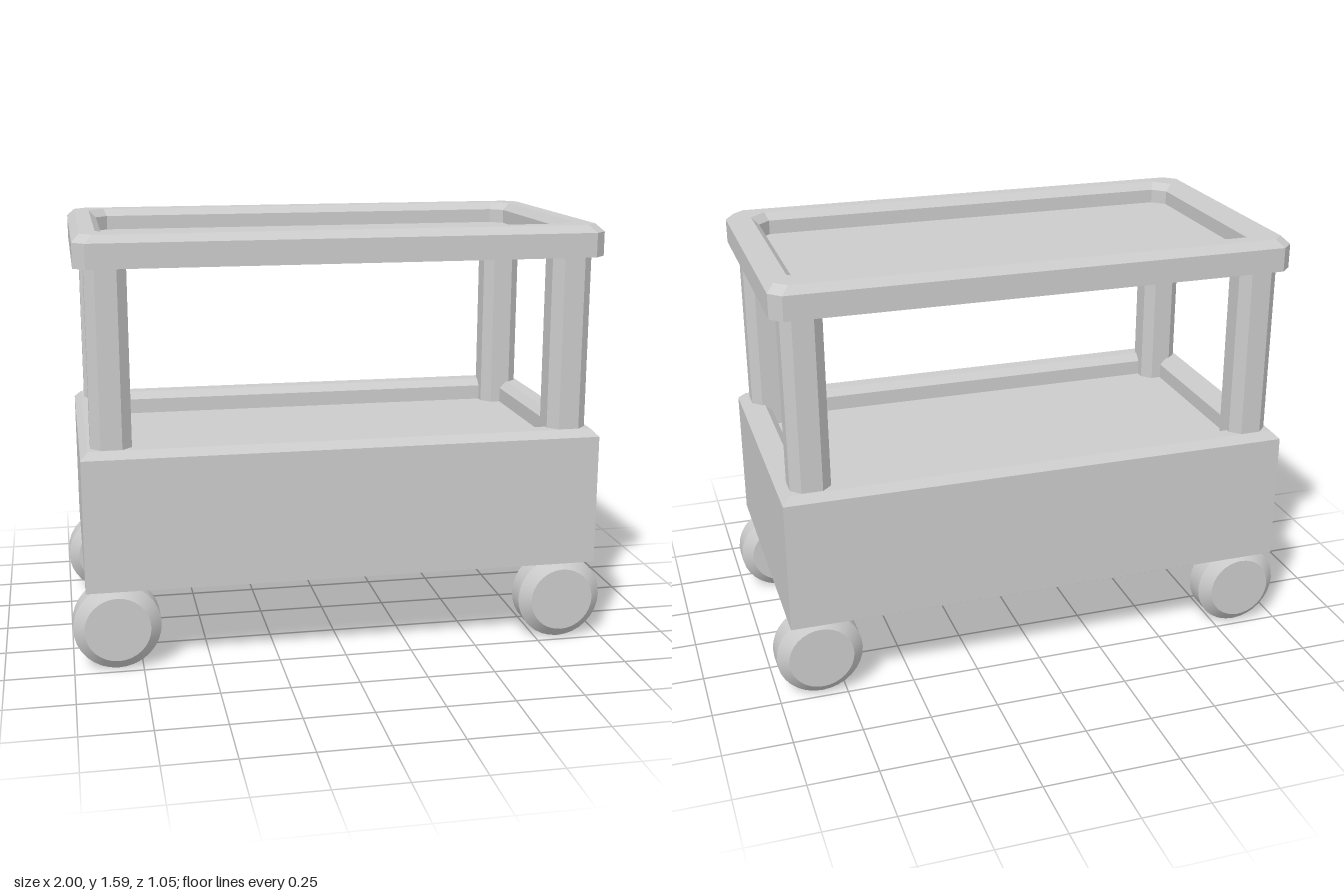
import * as THREE from 'three';
import { toCreasedNormals } from 'three/addons/utils/BufferGeometryUtils.js';

const material = new THREE.MeshStandardMaterial({ color: 0xcccccc });
const HX = 0.95, HZ = 0.525; // half length and half depth of the trays

// Rectangle with cut corners, counterclockwise seen from above
function ring(inset, cut, y) {
  const x = HX - inset, z = HZ - inset;
  return [
    [-x + cut, z], [x - cut, z], [x, z - cut], [x, -z + cut],
    [x - cut, -z], [-x + cut, -z], [-x, -z + cut], [-x, z - cut],
  ].map(([px, pz]) => new THREE.Vector3(px, y, pz));
}

// Solid skinned through rings, from the underside, over the rim, to the floor
function skin(rings) {
  const pos = [];
  const tri = (a, b, c) => {
    if (a.equals(b) || b.equals(c) || c.equals(a)) return;
    for (const p of [a, b, c]) pos.push(p.x, p.y, p.z);
  };
  for (let r = 0; r < rings.length - 1; r++) {
    const a = rings[r], b = rings[r + 1];
    for (let i = 0; i < 8; i++) {
      const j = (i + 1) % 8;
      tri(a[i], a[j], b[j]);
      tri(a[i], b[j], b[i]);
    }
  }
  const bottom = rings[0], floor = rings[rings.length - 1];
  for (let i = 1; i < 7; i++) {
    tri(bottom[0], bottom[i + 1], bottom[i]);
    tri(floor[0], floor[i], floor[i + 1]);
  }
  const g = new THREE.BufferGeometry();
  g.setAttribute('position', new THREE.Float32BufferAttribute(pos, 3));
  g.computeVertexNormals();
  return g;
}

// Tray with a bevelled rim and a recessed floor
function trayGeometry(y0, y1, outerCut, depth) {
  const b = 0.027;
  return skin([
    ring(0, outerCut, y0),
    ring(0, outerCut, y1 - b),
    ring(b, outerCut, y1),
    ring(0.083, 0.06, y1),
    ring(0.083 + b, 0.045, y1 - b),
    ring(0.083 + b, 0.045, y1 - depth),
  ]);
}

// Upright with cut corners
function postGeometry(y0, y1) {
  const h = 0.073, k = 0.038;
  const outline = [[-k, h], [k, h], [h, k], [h, -k], [k, -h], [-k, -h], [-h, -k], [-h, k]];
  const shape = new THREE.Shape(outline.map(([x, y]) => new THREE.Vector2(x, y)));
  const g = new THREE.ExtrudeGeometry(shape, { depth: y1 - y0, bevelEnabled: false });
  return g.rotateX(-Math.PI / 2).translate(0, y0, 0);
}

// Wheel with chamfered shoulders, axle along z
function wheelGeometry() {
  const profile = [[0, -0.077], [0.12, -0.077], [0.16, -0.04], [0.16, 0.04], [0.12, 0.077], [0, 0.077]]
    .map(([r, y]) => new THREE.Vector2(r, y));
  const g = new THREE.LatheGeometry(profile, 32).rotateX(Math.PI / 2);
  return toCreasedNormals(g, 0.5);
}

export function createModel() {
  const model = new THREE.Group();
  model.name = 'serviceCart';
  const add = (geometry, name, x = 0, y = 0, z = 0) => {
    const mesh = new THREE.Mesh(geometry, material);
    mesh.name = name;
    mesh.position.set(x, y, z);
    model.add(mesh);
  };

  add(trayGeometry(0.315, 0.83, 0, 0.085), 'lowerBin');
  add(trayGeometry(1.47, 1.585, 0.042, 0.08), 'upperTray');

  // A post and a wheel at each corner
  const post = postGeometry(0.74, 1.475);
  const wheel = wheelGeometry();
  for (const [sx, side] of [[1, 'Left'], [-1, 'Right']]) {
    for (const [sz, end] of [[1, 'front'], [-1, 'back']]) {
      add(post, `${end}${side}Post`, sx * 0.84, 0, sz * 0.42);
      add(wheel, `${end}${side}Wheel`, sx * 0.84, 0.16, sz * 0.42);
    }
  }
  return model;
}
